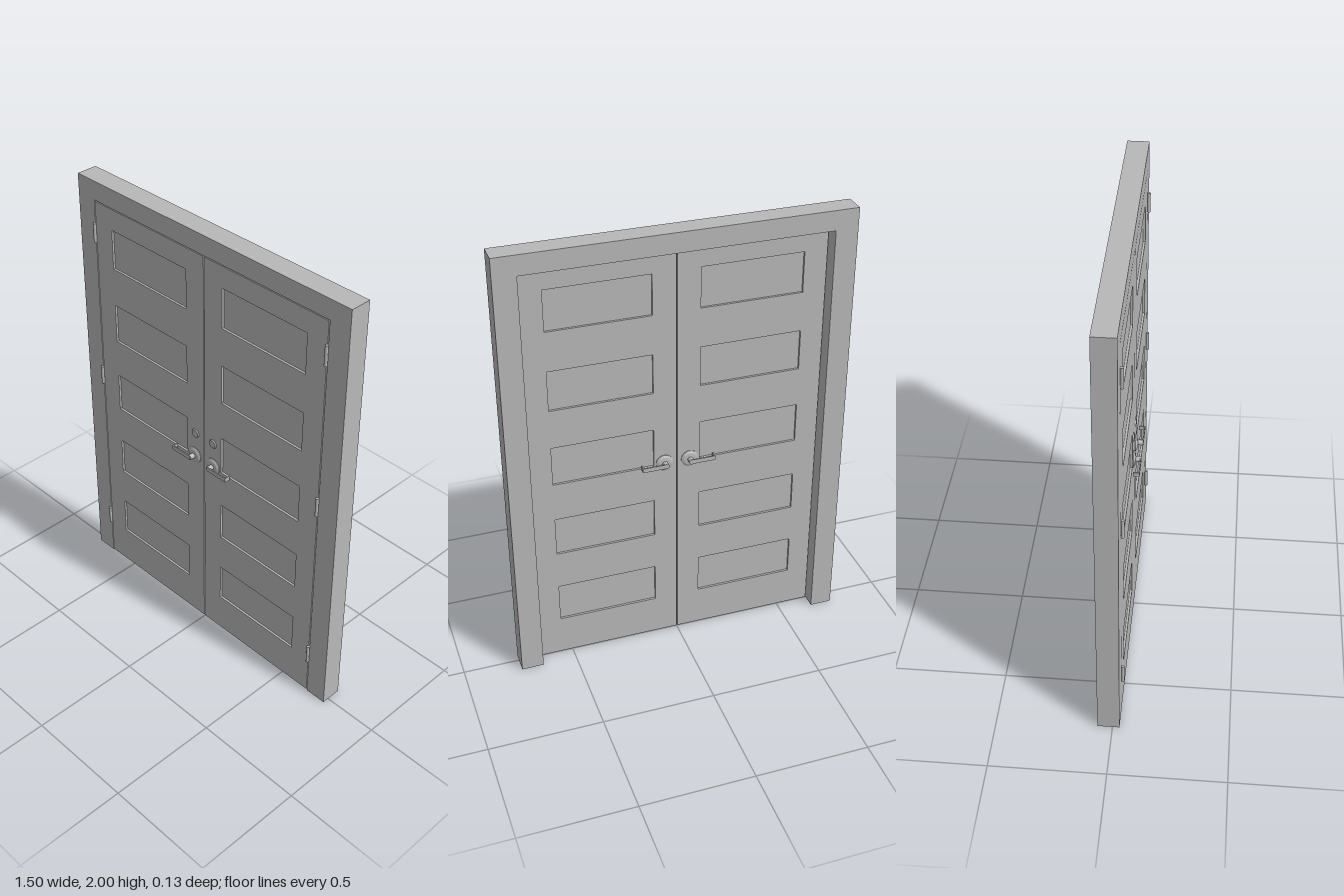
import * as THREE from 'three';

const FRONT = 0.03, BACK = -0.065, DOOR_BACK = -0.005;

function rectPath(P, x0, y0, x1, y1) {
  const p = new P();
  p.moveTo(x0, y0);
  p.lineTo(x1, y0);
  p.lineTo(x1, y1);
  p.lineTo(x0, y1);
  p.closePath();
  return p;
}

export function createModel() {
  const model = new THREE.Group();
  model.name = 'doubleDoor';
  const grey = new THREE.MeshStandardMaterial({ color: 0xb8b8b8 });
  grey.name = 'paintedGrey';

  const add = (parent, name, geo, x = 0, y = 0, z = 0) => {
    const mesh = new THREE.Mesh(geo, grey);
    mesh.name = name;
    mesh.position.set(x, y, z);
    parent.add(mesh);
    return mesh;
  };

  // Frame: two jambs and a head, open at the floor
  const frame = new THREE.Shape([
    [-0.75, 0], [-0.652, 0], [-0.652, 1.913], [0.652, 1.913],
    [0.652, 0], [0.75, 0], [0.75, 2], [-0.75, 2],
  ].map(([x, y]) => new THREE.Vector2(x, y)));
  add(model, 'frame', new THREE.ExtrudeGeometry(frame, { depth: FRONT - BACK, bevelEnabled: false }), 0, 0, BACK);

  // Lever handle built facing +z, pointing along side * x
  function leverHandle(name, side) {
    const g = new THREE.Group();
    g.name = name;
    const profile = [[0, 0], [0.038, 0], [0.038, 0.003], [0.028, 0.009], [0.012, 0.011], [0.012, 0.034], [0, 0.034]]
      .map(([r, h]) => new THREE.Vector2(r, h));
    // Duplicate corner rows keep the lathe edges crisp
    for (let i = 0; i < profile.length - 1; i++) {
      const part = add(g, 'rosette', new THREE.LatheGeometry([profile[i], profile[i + 1]], 28));
      part.rotation.x = Math.PI / 2;
    }
    add(g, 'lever', new THREE.BoxGeometry(0.112, 0.02, 0.005), side * 0.05, 0, 0.0325);
    add(g, 'leverReturn', new THREE.BoxGeometry(0.005, 0.02, 0.024), side * 0.1035, 0, 0.02);
    return g;
  }

  for (const side of [-1, 1]) {
    const label = side > 0 ? 'left' : 'right';
    const door = new THREE.Group();
    door.name = label + 'Door';
    model.add(door);

    // Door leaf with five panel openings
    const span = (a, b) => (side > 0 ? [a, b] : [-b, -a]);
    const [x0, x1] = span(0.0025, 0.648);
    const [p0, p1] = span(0.103, 0.548);
    const leaf = rectPath(THREE.Shape, x0, 0.005, x1, 1.909);
    for (let i = 0; i < 5; i++) {
      const y = 0.19 + i * 0.36;
      leaf.holes.push(rectPath(THREE.Path, p0, y, p1, y + 0.182));
      // Recessed panel
      add(door, 'panel', new THREE.BoxGeometry(p1 - p0, 0.182, 0.015), (p0 + p1) / 2, y + 0.091, 0.0125);
    }
    add(door, 'leaf', new THREE.ExtrudeGeometry(leaf, { depth: FRONT - DOOR_BACK, bevelEnabled: false }), 0, 0, DOOR_BACK);

    // Handles on both faces
    const front = leverHandle('frontHandle', side);
    front.position.set(side * 0.057, 0.92, FRONT);
    const back = leverHandle('backHandle', -side);
    back.position.set(side * 0.057, 0.92, DOOR_BACK);
    back.rotation.y = Math.PI;
    door.add(front, back);

    // Lock cylinder
    const lock = add(door, 'lockCylinder', new THREE.CylinderGeometry(0.018, 0.021, 0.005, 24), side * 0.053, 1.036, FRONT + 0.0025);
    lock.rotation.x = Math.PI / 2;

    // Hinge barrels
    for (const y of [0.23, 1.05, 1.765]) {
      add(door, 'hinge', new THREE.CylinderGeometry(0.007, 0.007, 0.09, 16), side * 0.65, y, 0.037);
    }
  }
  return model;
}
